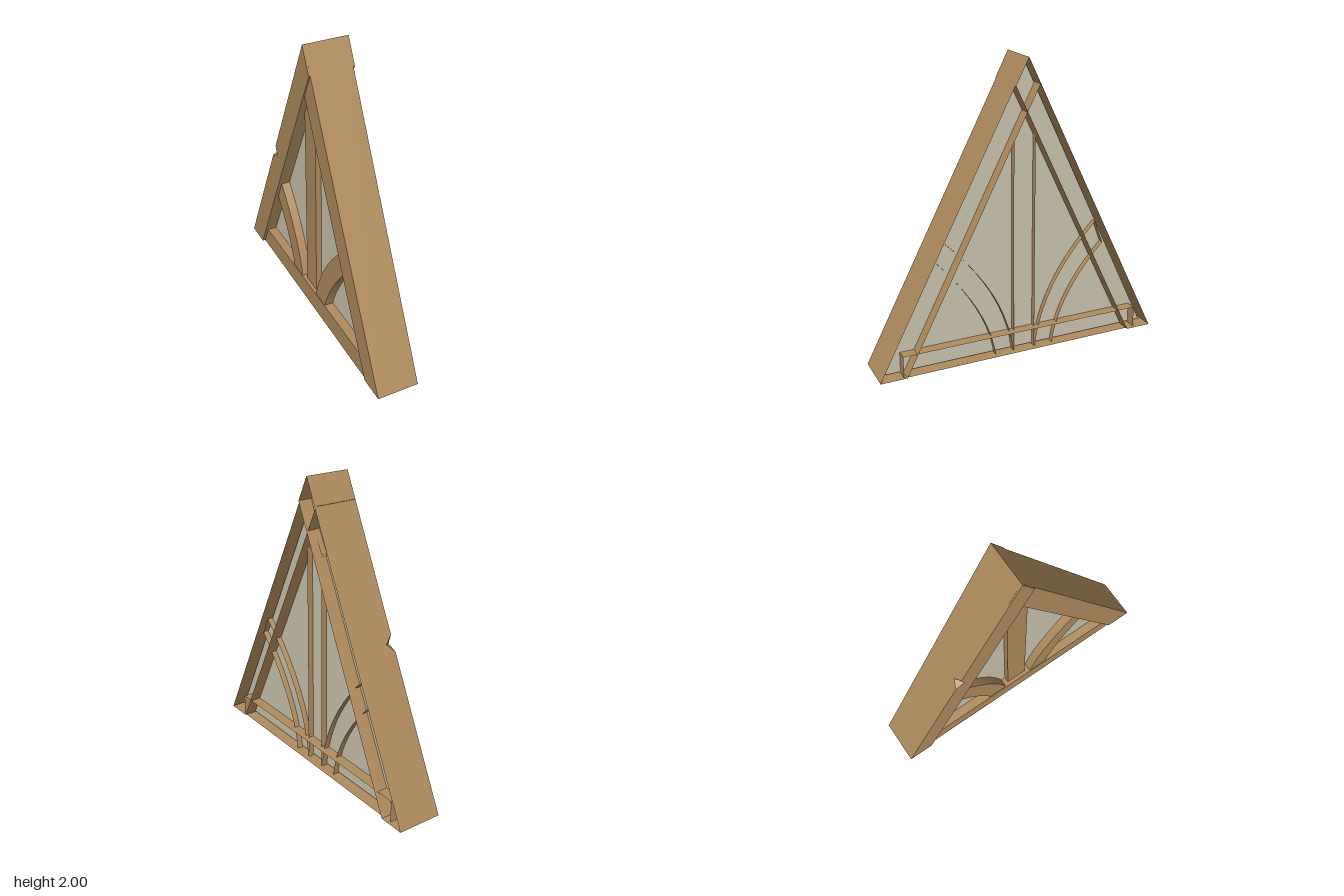
import * as THREE from 'three';

const timber = new THREE.MeshStandardMaterial({ color: 0xb08c5e, side: THREE.DoubleSide });
timber.name = 'timber brown';
const plaster = new THREE.MeshStandardMaterial({ color: 0xccc5ae });
plaster.name = 'plaster beige';

const APEX_Z = -0.03;

function flatGeometry(positions) {
  const g = new THREE.BufferGeometry();
  g.setAttribute('position', new THREE.Float32BufferAttribute(positions, 3));
  g.computeVertexNormals();
  return g;
}

// Shape drawn in (z, y), turned to face -x
function sideShape(profile) {
  return new THREE.Shape(profile.map(([z, y]) => new THREE.Vector2(z, y)));
}

// Timber member: profile of [z, y] points, closed on -x, hollow and open on +x
function member(name, profile, x0, x1, skipEdges = []) {
  const group = new THREE.Group();
  group.name = name;
  const walls = [];
  profile.forEach(([z, y], i) => {
    if (skipEdges.includes(i)) return;
    const [z2, y2] = profile[(i + 1) % profile.length];
    walls.push(x0, y, z, x1, y, z, x1, y2, z2, x0, y, z, x1, y2, z2, x0, y2, z2);
  });
  const wallMesh = new THREE.Mesh(flatGeometry(walls), timber);
  wallMesh.name = name + 'Walls';
  const face = new THREE.ShapeGeometry(sideShape(profile));
  face.rotateY(-Math.PI / 2).translate(x0, 0, 0);
  const faceMesh = new THREE.Mesh(face, timber);
  faceMesh.name = name + 'Face';
  group.add(wallMesh, faceMesh);
  return group;
}

// Curved brace between two quadratic curves; side is +1 front, -1 back
function brace(name, side, upperEnd, lowerEnd) {
  const curve = (a, b, c) => new THREE.QuadraticBezierCurve(
    new THREE.Vector2(...a), new THREE.Vector2(...b), new THREE.Vector2(...c)).getPoints(10);
  const upper = curve([0.08, 0], [0.13, 0.45], upperEnd);
  const lower = curve([0.21, 0], [0.26, 0.35], lowerEnd).reverse();
  const profile = [...upper, ...lower].map((p) => [APEX_Z + side * p.x, p.y]);
  return member(name, profile, -0.13, 0.1);
}

// Back rafter with a small wedge cut from its outer edge
function backRafter() {
  const x0 = -0.155, x1 = 0.155;
  const outerZ = (y) => -1 + (y / 2) * (1 + APEX_Z);
  const low = [outerZ(0.95), 0.95], high = [outerZ(1.05), 1.05];
  const deep = [outerZ(1) + 0.045, 0.98];
  const profile = [[-1, 0], low, deep, high, [APEX_Z, 2], [0.057, 1.83], [-0.82, 0]];
  const group = member('backRafter', profile, x0, x1, [0, 1, 2, 3]);

  const outline = new THREE.Shape([[x0, 0], [x0, 0.95], [-0.1, 1], [x0, 1.05], [x0, 2], [x1, 2], [x1, 0]]
    .map(([x, y]) => new THREE.Vector2(x, y)));
  const outer = new THREE.ShapeGeometry(outline);
  const pos = outer.attributes.position;
  for (let i = 0; i < pos.count; i++) pos.setZ(i, outerZ(pos.getY(i)));
  outer.computeVertexNormals();
  const outerMesh = new THREE.Mesh(outer, timber);
  outerMesh.name = 'backRafterOuterFace';

  const tip = [-0.1, 1, outerZ(1)];
  const at = ([z, y]) => [x0, y, z];
  const notch = new THREE.Mesh(
    flatGeometry([...at(low), ...tip, ...at(deep), ...at(deep), ...tip, ...at(high)]), timber);
  notch.name = 'wedgeNotch';
  group.add(outerMesh, notch);
  return group;
}

export function createModel() {
  const model = new THREE.Group();
  model.name = 'gableTruss';

  // Infill wall
  const infill = new THREE.ExtrudeGeometry(
    sideShape([[-0.97, 0.01], [0.97, 0.01], [APEX_Z, 1.99]]), { depth: 0.13, bevelEnabled: false });
  infill.rotateY(-Math.PI / 2).translate(0.06, 0, 0);
  const infillMesh = new THREE.Mesh(infill, plaster);
  infillMesh.name = 'infillPanel';
  model.add(infillMesh);

  // Rafters, lapped at the apex
  model.add(member('frontRafter', [[1, 0], [APEX_Z, 2], [-0.115, 1.83], [0.82, 0]], -0.145, 0.145));
  model.add(backRafter());

  // Tie beam and king post
  model.add(member('tieBeam', [[0.84, 0], [0.84, 0.15], [-0.88, 0.15], [-0.88, 0]], -0.135, 0.135));
  model.add(member('kingPost',
    [[APEX_Z + 0.075, 0], [APEX_Z + 0.075, 1.52], [APEX_Z, 1.66], [APEX_Z - 0.075, 1.52], [APEX_Z - 0.075, 0]],
    -0.11, 0.1));

  // Curved braces
  model.add(brace('frontBrace', 1, [0.57, 0.87], [0.63, 0.75]));
  model.add(brace('backBrace', -1, [0.53, 0.84], [0.59, 0.68]));
  return model;
}
